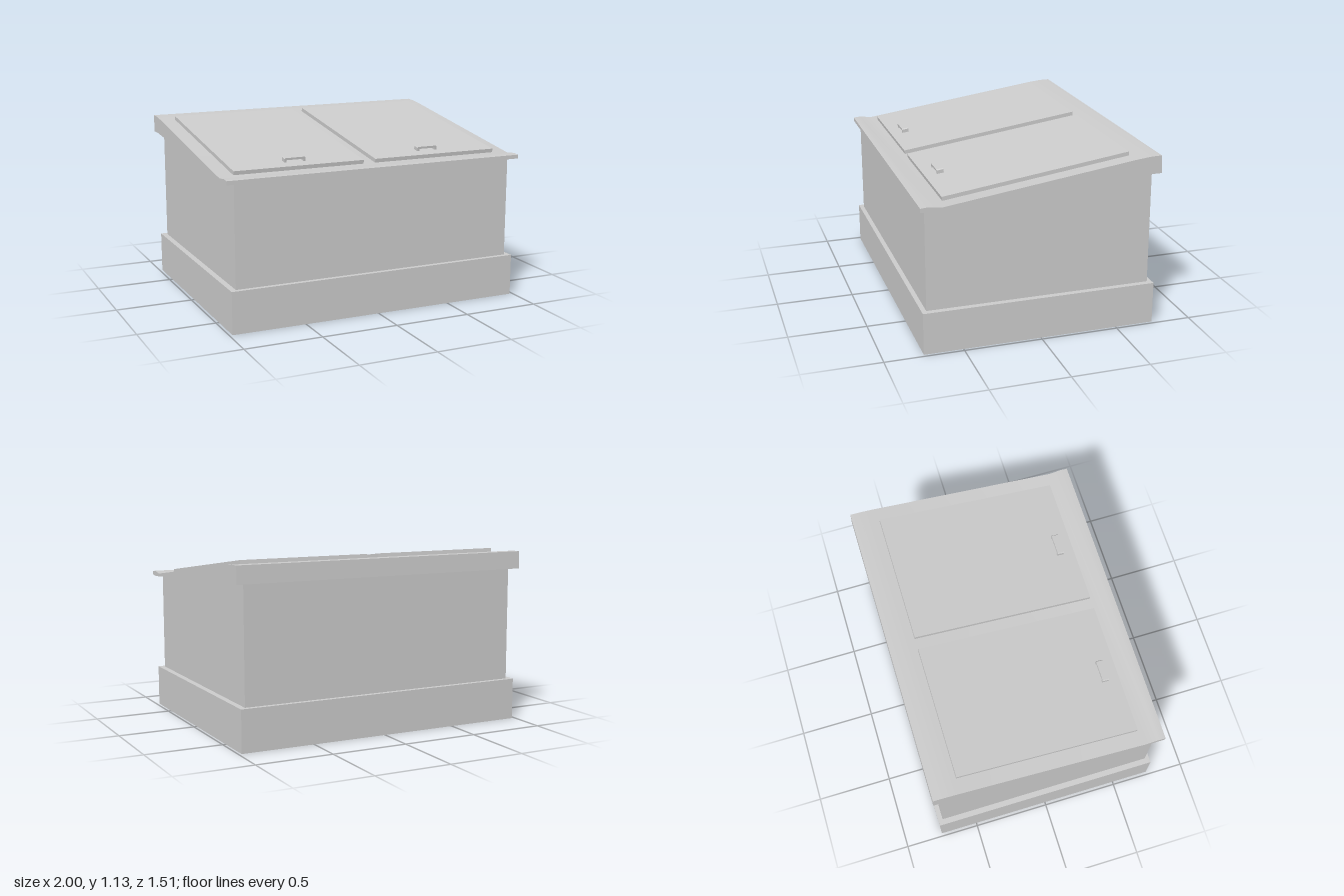
import * as THREE from 'three';
import { toCreasedNormals } from 'three/addons/utils/BufferGeometryUtils.js';

const material = new THREE.MeshStandardMaterial({ color: 0xcccccc });

function part(name, geometry, parent) {
  const mesh = new THREE.Mesh(geometry, material);
  mesh.name = name;
  parent.add(mesh);
  return mesh;
}

// Extrudes a side profile of [z, y] points along x, centred on x = 0
function sideProfile(points, width) {
  const shape = new THREE.Shape(points.map(([z, y]) => new THREE.Vector2(z, y)));
  const geometry = new THREE.ExtrudeGeometry(shape, { depth: width, bevelEnabled: false });
  geometry.translate(0, 0, -width / 2).rotateY(-Math.PI / 2);
  return toCreasedNormals(geometry, 0.4);
}

// Bridge-shaped pull: two feet joined by a bar with chamfered corners
function handleGeometry() {
  const w = 0.07, h = 0.028, foot = 0.014, bar = 0.014, c = 0.006, depth = 0.044;
  const shape = new THREE.Shape([
    [-w, -0.004], [-w + foot, -0.004], [-w + foot, h - bar], [w - foot, h - bar],
    [w - foot, -0.004], [w, -0.004], [w, h - c], [w - c, h], [c - w, h], [-w, h - c],
  ].map(([x, y]) => new THREE.Vector2(x, y)));
  return new THREE.ExtrudeGeometry(shape, { depth, bevelEnabled: false }).translate(0, 0, -depth / 2);
}

export function createModel() {
  const model = new THREE.Group();
  model.name = 'slopedChest';

  // Plinth
  part('plinth', new THREE.BoxGeometry(1.96, 0.27, 1.5).translate(0, 0.135, 0), model);

  // Body with a sloping top tucked into the lid
  part('body', sideProfile([
    [0.72, 0.26], [0.72, 0.922], [-0.717, 1.012], [-0.72, 0.26],
  ], 1.886), model);

  // Lid frame: raised back edge, sloping deck and upturned front lip
  part('lidFrame', sideProfile([
    [0.756, 0.921], [0.756, 0.946], [0.71, 0.95], [0.63, 0.939],
    [-0.6, 1.111], [-0.69, 1.12], [-0.752, 1.121], [-0.756, 1.008],
    [-0.66, 1.008], [0.64, 0.919], [0.70, 0.916],
  ], 2), model);

  // Two door panels lying on the sloping deck, each with a pull near the front
  const deck = new THREE.Group();
  deck.name = 'doors';
  deck.position.set(0, 1.0255, 0.01);
  deck.rotation.x = Math.atan(0.14);
  model.add(deck);

  const handle = handleGeometry();
  for (const side of [-1, 1]) {
    const name = side > 0 ? 'left' : 'right';
    const door = part(name + 'Door', new THREE.BoxGeometry(0.862, 0.032, 1.19), deck);
    door.position.set(side * 0.471, 0.009, 0);
    const pull = part(name + 'Handle', handle, deck);
    pull.position.set(side > 0 ? 0.45 : -0.475, 0.025, 0.498);
  }

  return model;
}
